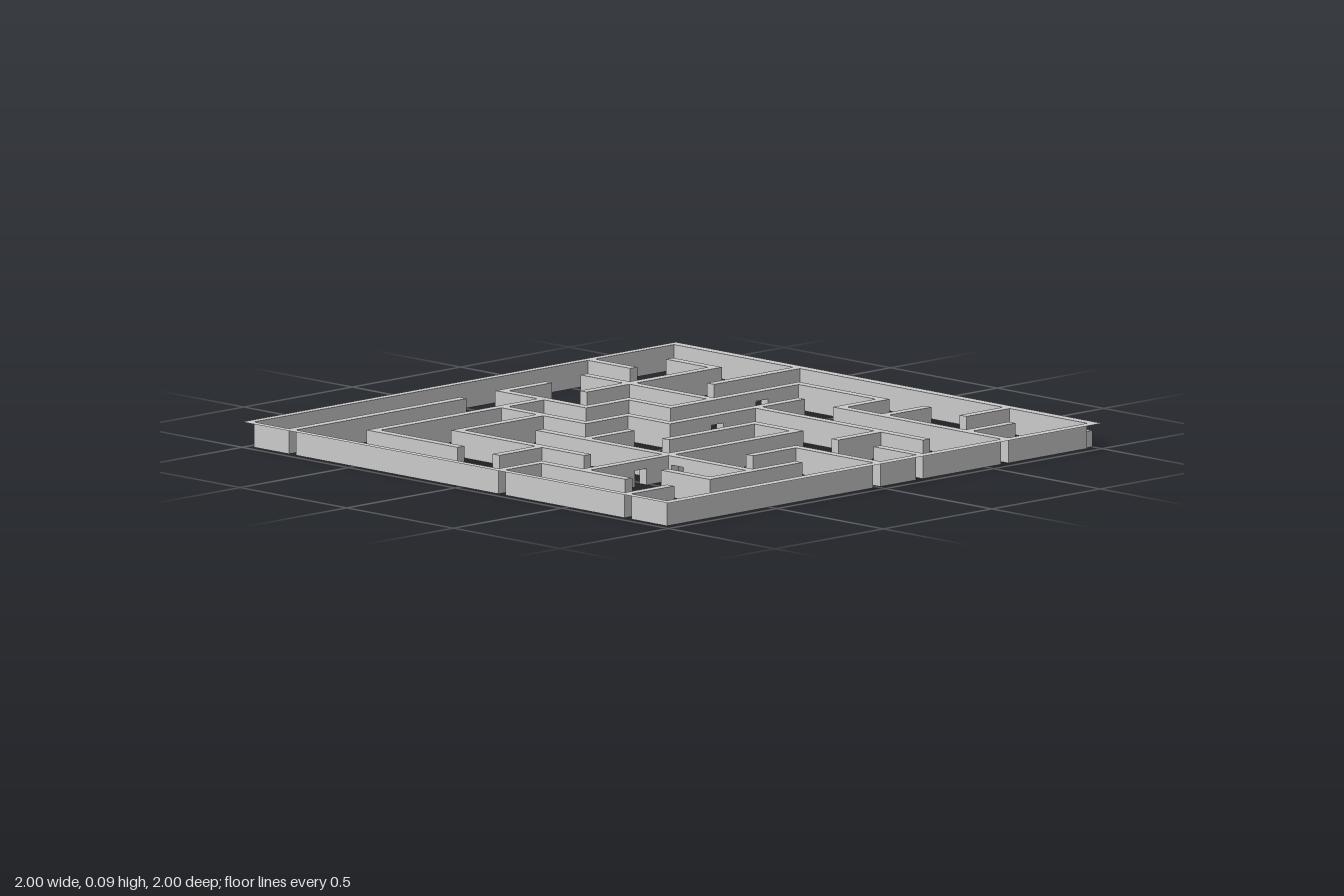
import * as THREE from 'three';

const HEIGHT = 0.085, DOOR = 0.055, HALF = 0.0165;
// Edges of the wall strip on grid line i (0..10)
const lo = (i) => (i === 0 ? -1 : i === 10 ? 0.965 : -0.988 + 0.1967 * i - HALF);
const hi = (i) => (i === 0 ? -0.972 : i === 10 ? 1 : -0.988 + 0.1967 * i + HALF);

// Walls running along x: [z line, first x line, last x line]
const rows = [
  [0, 0, 10], [10, 0, 10],
  [1, 0, 4], [1, 5, 6], [2, 1, 5], [2, 6, 9], [3, 2, 4], [3, 5, 6], [3, 8, 10],
  [4, 4, 5], [4, 6, 9], [5, 1, 2], [5, 3, 4], [5, 5, 8], [6, 0, 1], [6, 4, 6],
  [6, 8, 9], [7, 1, 6], [7, 8, 9], [8, 4, 5], [8, 6, 7], [8, 9, 10],
  [9, 0, 1], [9, 2, 4], [9, 8, 9],
];
// Walls running along z: [x line, first z line, last z line]
const columns = [
  [0, 0, 10], [10, 0, 10],
  [1, 2, 4], [1, 6, 8], [2, 3, 6], [2, 8, 9], [3, 4, 9], [4, 2, 4],
  [5, 1, 3], [5, 4, 5], [5, 8, 10], [6, 3, 4], [6, 6, 7], [6, 9, 10],
  [7, 1, 4], [7, 5, 9], [8, 0, 1], [8, 6, 10], [9, 1, 2], [9, 4, 6],
];
// Little doorways: [x0, z0, x1, z1]
const doors = [
  [lo(10), 0.9, hi(10), 0.955],
  [0.57, lo(4), 0.625, hi(4)],
  [0.17, lo(5), 0.225, hi(5)],
  [-0.57, lo(7), -0.515, hi(7)],
  [lo(3), 0.42, hi(3), 0.475],
];

function mazeGeometry() {
  const walls = [
    ...rows.map(([z, a, b]) => [lo(a), lo(z), hi(b), hi(z)]),
    ...columns.map(([x, a, b]) => [lo(x), lo(a), hi(x), hi(b)]),
  ];
  const all = [...walls, ...doors];
  const cuts = (k) => [...new Set(all.flatMap((r) => [r[k], r[k + 2]]))].sort((a, b) => a - b);
  const xs = cuts(0), zs = cuts(1);
  const inside = (r, x, z) => x > r[0] && x < r[2] && z > r[1] && z < r[3];

  // Underside height of each cell: 0 in a wall, DOOR over a doorway, HEIGHT where empty
  const base = xs.slice(1).map((x1, i) => zs.slice(1).map((z1, j) => {
    const x = (xs[i] + x1) / 2, z = (zs[j] + z1) / 2;
    if (!walls.some((r) => inside(r, x, z))) return HEIGHT;
    return doors.some((r) => inside(r, x, z)) ? DOOR : 0;
  }));

  const positions = [];
  const quad = (a, b, c, d) => positions.push(...a, ...b, ...c, ...a, ...c, ...d);
  const level = (x0, x1, z0, z1, y) =>
    quad([x0, y, z1], [x1, y, z1], [x1, y, z0], [x0, y, z0]);

  base.forEach((column, i) => column.forEach((y, j) => {
    const x0 = xs[i], x1 = xs[i + 1], z0 = zs[j], z1 = zs[j + 1];
    // Top of the wall and ceiling of the doorway
    if (y < HEIGHT) level(x0, x1, z0, z1, HEIGHT);
    if (y === DOOR) quad([x0, y, z0], [x1, y, z0], [x1, y, z1], [x0, y, z1]);
    // Upright faces between neighbouring cells, facing the emptier one
    const nx = base[i + 1]?.[j], nz = column[j + 1];
    if (nx !== undefined && nx !== y) {
      const [a, b] = y < nx ? [z1, z0] : [z0, z1];
      const l = Math.min(y, nx), h = Math.max(y, nx);
      quad([x1, l, a], [x1, l, b], [x1, h, b], [x1, h, a]);
    }
    if (nz !== undefined && nz !== y) {
      const [a, b] = y < nz ? [x0, x1] : [x1, x0];
      const l = Math.min(y, nz), h = Math.max(y, nz);
      quad([a, l, z1], [b, l, z1], [b, h, z1], [a, h, z1]);
    }
  }));

  const geometry = new THREE.BufferGeometry();
  geometry.setAttribute('position', new THREE.Float32BufferAttribute(positions, 3));
  geometry.computeVertexNormals();
  return geometry;
}

export function createModel() {
  const group = new THREE.Group();
  group.name = 'maze';
  const material = new THREE.MeshStandardMaterial({ color: 0xcccccc, side: THREE.DoubleSide });
  const walls = new THREE.Mesh(mazeGeometry(), material);
  walls.name = 'mazeWalls';
  group.add(walls);
  return group;
}
